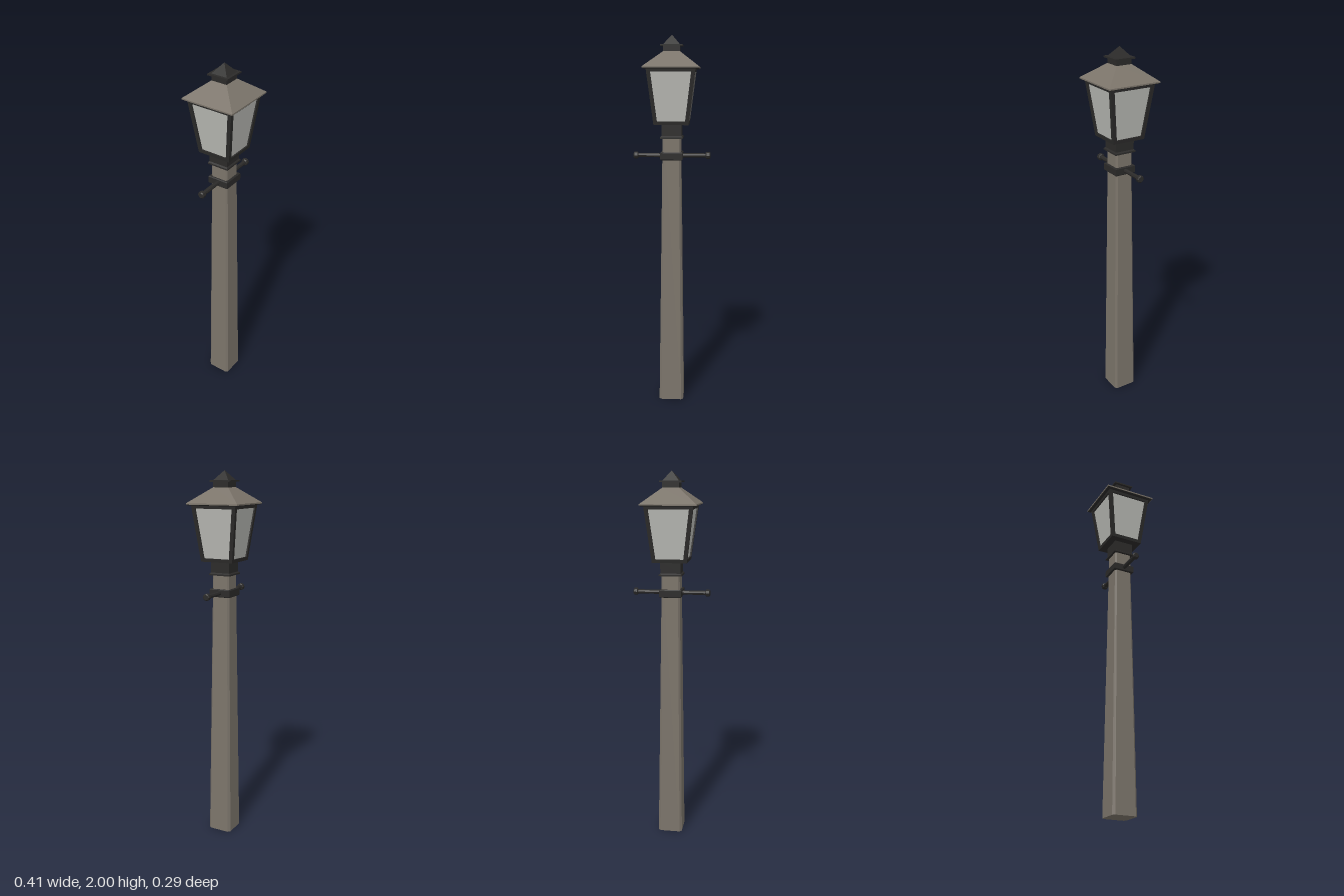
import * as THREE from 'three';

const mat = (color) => new THREE.MeshStandardMaterial({ color, flatShading: true });

export function createModel() {
  const lamp = new THREE.Group();
  lamp.name = 'streetLamp';
  const stone = mat(0x7b746a), iron = mat(0x2b2a29), glass = mat(0xb9bab5);

  const add = (name, geometry, material) => {
    const mesh = new THREE.Mesh(geometry, material);
    mesh.name = name;
    lamp.add(mesh);
    return mesh;
  };

  // Square-plan solid from [halfWidth, y] steps, listed bottom to top
  const square = (name, steps, material) => {
    const pts = steps.map(([h, y]) => new THREE.Vector2(h * Math.SQRT2, y));
    pts.unshift(new THREE.Vector2(0, steps[0][1]));
    pts.push(new THREE.Vector2(0, steps[steps.length - 1][1]));
    return add(name, new THREE.LatheGeometry(pts, 4).rotateY(Math.PI / 4), material);
  };

  // Tapered post with chamfered corners
  const postHeight = 1.48, h = 0.067, c = 0.055;
  const outline = new THREE.Shape([
    [h, -c], [h, c], [c, h], [-c, h], [-h, c], [-h, -c], [-c, -h], [c, -h],
  ].map(([x, y]) => new THREE.Vector2(x, y)));
  const post = new THREE.ExtrudeGeometry(outline, { depth: postHeight, bevelEnabled: false }).rotateX(-Math.PI / 2);
  const p = post.attributes.position;
  for (let i = 0; i < p.count; i++) {
    const s = 1 - 0.29 * p.getY(i) / postHeight;
    p.setXYZ(i, p.getX(i) * s, p.getY(i), p.getZ(i) * s);
  }
  add('post', post, stone);

  // Ladder rest: band, crossbar and end knobs
  square('band', [[0.055, 1.353], [0.059, 1.357], [0.059, 1.391], [0.055, 1.395]], iron);
  const bar = new THREE.CylinderGeometry(0.0115, 0.0115, 0.38, 8);
  add('crossbar', bar.rotateZ(Math.PI / 2).translate(0, 1.375, 0), iron);
  const knobProfile = [[0, -0.0125], [0.014, -0.0125], [0.019, -0.008], [0.019, 0.008], [0.014, 0.0125], [0, 0.0125]]
    .map(([r, y]) => new THREE.Vector2(r, y));
  for (const side of [-1, 1]) {
    const knob = add(side > 0 ? 'leftKnob' : 'rightKnob', new THREE.LatheGeometry(knobProfile, 8), iron);
    knob.rotation.z = Math.PI / 2;
    knob.position.set(side * 0.193, 1.375, 0);
  }

  // Collar with a flange at its foot
  square('collar', [[0.06, 1.467], [0.06, 1.475], [0.053, 1.481], [0.053, 1.545]], iron);

  // Lantern: half-width grows linearly with height
  const y0 = 1.54, y1 = 1.83, slope = (0.127 - 0.091) / (y1 - y0);
  const half = (y) => 0.091 + slope * (y - y0);
  const ring = (name, a, b, inset, material) =>
    square(name, [[half(a) - inset, a], [half(b) - inset, b]], material);
  ring('lanternBase', y0, 1.558, 0, iron);
  ring('glass', 1.556, 1.814, 0.008, glass);
  ring('topRail', 1.812, y1, 0, iron);

  // Leaning corner bars
  for (const sx of [-1, 1]) for (const sz of [-1, 1]) {
    const w = 0.02;
    const g = new THREE.BoxGeometry(w, y1 - y0, w).translate(0, (y0 + y1) / 2, 0);
    const v = g.attributes.position;
    for (let i = 0; i < v.count; i++) {
      const o = half(v.getY(i)) - w / 2;
      v.setXYZ(i, v.getX(i) + sx * o, v.getY(i), v.getZ(i) + sz * o);
    }
    add('cornerBar', g, iron);
  }

  // Roof, with a dark soffit under the eaves
  square('soffit', [[0.139, 1.827], [0.144, 1.832]], iron);
  square('roof', [[0.145, 1.831], [0.145, 1.838], [0.043, 1.916]], stone);

  // Vent cap and pointed finial
  square('capNeck', [[0.043, 1.908], [0.043, 1.945]], iron);
  square('capPlate', [[0.057, 1.943], [0.057, 1.951]], iron);
  square('finial', [[0.044, 1.95], [0.0005, 2]], iron);

  return lamp;
}
